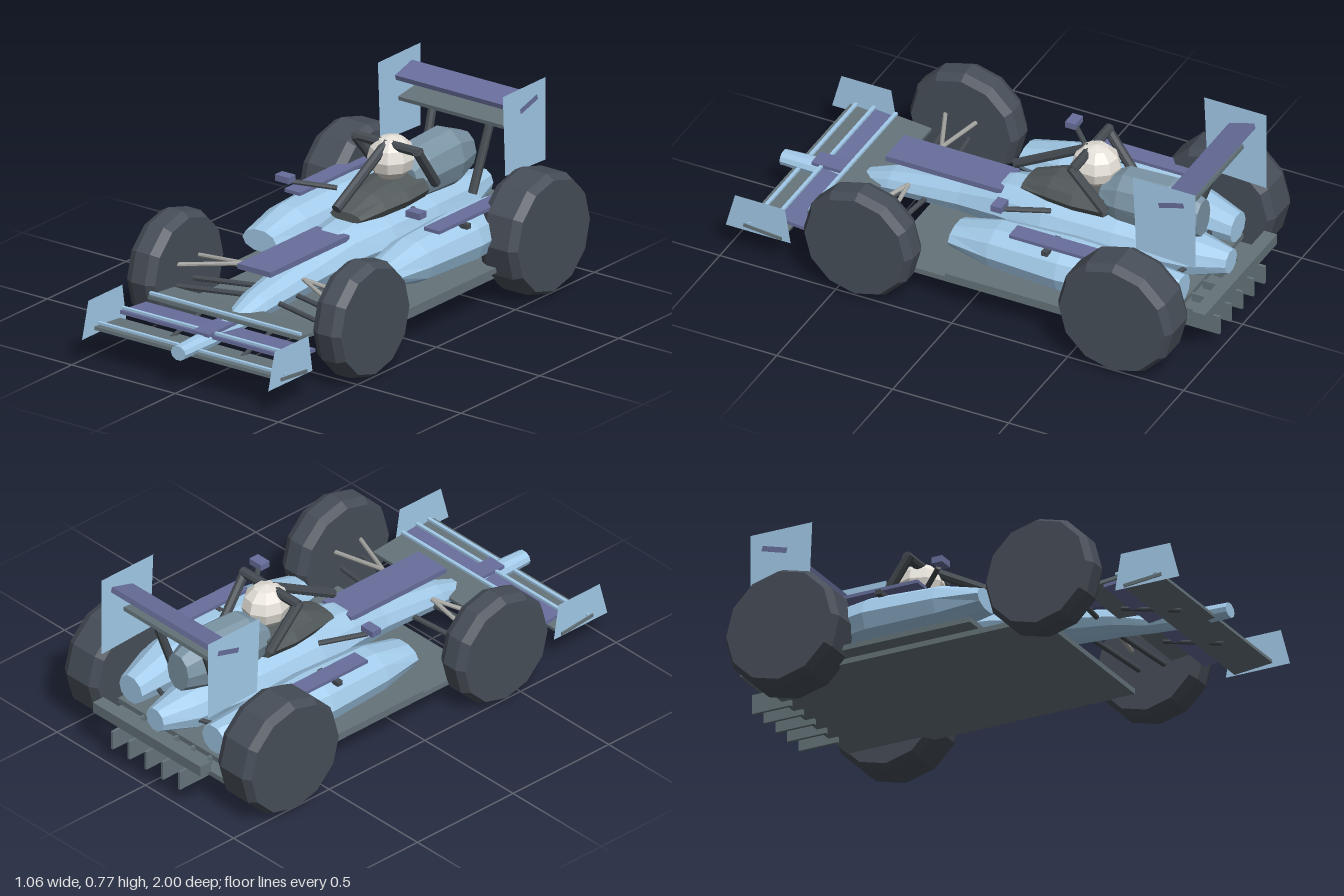
import * as THREE from 'three';

const mat = (color, side = THREE.FrontSide) =>
  new THREE.MeshStandardMaterial({ color, flatShading: true, side });
const BLUE = mat(0xa3cbea), BLUE_THIN = mat(0xa3cbea, THREE.DoubleSide), PURPLE = mat(0x686f9c);
const GREY = mat(0x65747a), COVER = mat(0x7c95a6), TYRE = mat(0x474e58);
const DARK = mat(0x454c52), COCKPIT = mat(0x535a5c), STEEL = mat(0xa5a5a2), WHITE = mat(0xe6e2da);

export function createModel() {
  const car = new THREE.Group();
  car.name = 'raceCar';

  const add = (name, geometry, material, x = 0, y = 0, z = 0, tilt = 0) => {
    const mesh = new THREE.Mesh(geometry, material);
    mesh.name = name;
    mesh.position.set(x, y, z);
    mesh.rotation.x = tilt;
    car.add(mesh);
    return mesh;
  };
  const box = (name, material, w, h, d, x, y, z, tilt) =>
    add(name, new THREE.BoxGeometry(w, h, d), material, x, y, z, tilt);

  // Round bar between two points
  const rod = (name, material, r, from, to) => {
    const a = new THREE.Vector3(...from), b = new THREE.Vector3(...to);
    const dir = b.clone().sub(a);
    const mesh = add(name, new THREE.CylinderGeometry(r, r, dir.length(), 8), material);
    mesh.position.copy(a).add(b).multiplyScalar(0.5);
    mesh.quaternion.setFromUnitVectors(new THREE.Vector3(0, 1, 0), dir.normalize());
  };

  // Faceted hull through elliptical sections [z, x, y, rx, ry], front to rear
  const hull = (name, material, sections, sides = 10) => {
    const pos = [], index = [], last = sections.length - 1;
    sections.forEach(([z, x, y, rx, ry]) => {
      for (let j = 0; j < sides; j++) {
        const a = (j / sides) * Math.PI * 2;
        pos.push(x + rx * Math.cos(a), y + ry * Math.sin(a), z);
      }
    });
    const front = pos.length / 3, rear = front + 1;
    for (const i of [0, last]) pos.push(sections[i][1], sections[i][2], sections[i][0]);
    for (let j = 0; j < sides; j++) {
      const k = (j + 1) % sides;
      for (let i = 0; i < last; i++) {
        const a = i * sides + j, b = i * sides + k;
        index.push(a, a + sides, b, b, a + sides, b + sides);
      }
      index.push(front, j, k, rear, last * sides + k, last * sides + j);
    }
    const g = new THREE.BufferGeometry();
    g.setAttribute('position', new THREE.Float32BufferAttribute(pos, 3));
    g.setIndex(index);
    g.computeVertexNormals();
    return add(name, g, material);
  };

  // Thin upright plate from a (z, y) outline
  const plate = (name, x, lean, outline) => {
    const shape = new THREE.Shape(outline.map(([z, y]) => new THREE.Vector2(-z, y)));
    const mesh = add(name, new THREE.ShapeGeometry(shape), BLUE_THIN, x);
    mesh.rotation.set(0, Math.PI / 2, lean);
  };

  // Tyre with bevelled shoulders
  const wheel = (name, x, y, z, r, width) => {
    const h = width / 2;
    const profile = [[0, -h], [r - 0.02, -h], [r, -h + 0.035], [r, h - 0.035], [r - 0.02, h], [0, h]];
    const g = new THREE.LatheGeometry(profile.map(p => new THREE.Vector2(...p)), 12);
    add(name, g.rotateZ(Math.PI / 2), TYRE, x, y, z);
  };

  // Main body and nose
  hull('body', BLUE, [
    [0.98, 0, 0.165, 0.036, 0.03], [0.8, 0, 0.167, 0.044, 0.034], [0.64, 0, 0.18, 0.045, 0.035],
    [0.5, 0, 0.215, 0.072, 0.052], [0.18, 0, 0.258, 0.102, 0.072], [0, 0, 0.282, 0.132, 0.098],
    [-0.2, 0, 0.29, 0.165, 0.112], [-0.5, 0, 0.285, 0.15, 0.11], [-0.8, 0, 0.275, 0.1, 0.085],
    [-0.95, 0, 0.285, 0.05, 0.05]]);
  hull('cockpitSurround', COCKPIT, [
    [-0.08, 0, 0.4, 0.075, 0.02], [-0.2, 0, 0.415, 0.105, 0.055],
    [-0.32, 0, 0.425, 0.13, 0.06], [-0.45, 0, 0.43, 0.125, 0.06]]);
  hull('engineCover', COVER, [
    [-0.42, 0, 0.45, 0.09, 0.08], [-0.5, 0, 0.46, 0.108, 0.115],
    [-0.7, 0, 0.46, 0.105, 0.125], [-0.83, 0, 0.45, 0.06, 0.08]]);
  box('nosePanel', PURPLE, 0.16, 0.022, 0.5, 0, 0.358, 0.25);
  const helmet = add('helmet', new THREE.SphereGeometry(0.092, 9, 6), WHITE, 0, 0.56, -0.37);
  helmet.scale.set(1, 0.97, 1.08);

  // Floor
  box('lowerFloor', GREY, 0.77, 0.022, 1.23, 0, 0.114, -0.255);
  box('upperFloor', GREY, 0.84, 0.022, 0.9, 0, 0.155, -0.38);

  // Front wing: three stacked elements, each with a lip
  const elements = [[0.91, 0.84, 0.138, GREY, 0.895], [0.82, 0.73, 0.18, PURPLE, 0.797], [0.73, 0.61, 0.215, GREY, 0.68]];
  for (const [w, z, y, material, lipZ] of elements) {
    box('frontWingElement', material, w, 0.014, 0.165, 0, y, z, -0.09);
    box('frontWingLip', BLUE, w, 0.01, 0.014, 0, y + 0.022, lipZ);
  }
  box('frontWingCentre', PURPLE, 0.08, 0.014, 0.19, 0, 0.202, 0.745);

  // Rear wing and crash bar
  box('rearWingFlap', PURPLE, 0.605, 0.022, 0.112, 0, 0.7, -0.845, 0.28);
  box('rearWingMainPlane', GREY, 0.53, 0.016, 0.11, 0, 0.625, -0.815, 0.14);
  box('rearBar', GREY, 0.61, 0.045, 0.055, 0, 0.213, -0.965);
  for (let i = -2; i <= 2; i++)
    box('diffuserFin', GREY, 0.012, 0.08, 0.17, i * 0.095, 0.12, -0.915);

  // Cockpit guard
  rod('guardPillar', DARK, 0.02, [0, 0.45, -0.02], [0, 0.625, -0.34]);
  rod('guardCrossbar', DARK, 0.02, [-0.16, 0.62, -0.345], [0.16, 0.62, -0.345]);

  for (const s of [-1, 1]) {
    // Sidepods with their top panels and small bars
    hull('sidepod', BLUE, [
      [0.08, s * 0.295, 0.282, 0.082, 0.045], [-0.1, s * 0.295, 0.285, 0.112, 0.09],
      [-0.4, s * 0.295, 0.285, 0.128, 0.103], [-0.65, s * 0.275, 0.275, 0.108, 0.095],
      [-0.86, s * 0.235, 0.27, 0.065, 0.06]]);
    box('sidepodPanel', PURPLE, 0.075, 0.014, 0.455, s * 0.337, 0.391, -0.41);
    box('sidepodBar', DARK, 0.12, 0.02, 0.025, s * 0.335, 0.372, -0.345);

    // Mirrors
    box('mirror', PURPLE, 0.066, 0.026, 0.045, s * 0.316, 0.478, -0.112);
    rod('mirrorArm', DARK, 0.011, [s * 0.185, 0.42, -0.265], [s * 0.31, 0.462, -0.125]);

    // Guard legs and rear wing struts
    rod('guardLeg', DARK, 0.02, [s * 0.152, 0.625, -0.335], [s * 0.135, 0.45, -0.475]);
    rod('rearWingStrut', DARK, 0.018, [s * 0.14, 0.62, -0.82], [s * 0.125, 0.33, -0.72]);

    // Wing endplates and front wing hangers
    plate('frontEndplate', s * 0.45, 0, [[1, 0.12], [0.72, 0.12], [0.745, 0.27], [0.96, 0.27]]);
    plate('rearEndplate', s * 0.302, 0, [[-0.68, 0.78], [-0.95, 0.78], [-0.95, 0.44], [-0.695, 0.45]]);
    rod('frontWingHanger', DARK, 0.009, [s * 0.17, 0.12, 0.86], [s * 0.17, 0.185, 0.6]);

    // Suspension
    for (const z of [0.345, 0.485])
      rod('frontUpperArm', STEEL, 0.009, [s * 0.4, 0.284, z], [s * 0.14, 0.315, 0.37]);
    for (const z of [0.33, 0.44])
      rod('frontLowerArm', DARK, 0.011, [s * 0.4, 0.2, z + 0.05], [s * 0.08, 0.222, z]);
    for (const z of [-0.6, -0.8])
      rod('rearArm', DARK, 0.01, [s * 0.4, 0.26, -0.7], [s * 0.08, 0.26, z]);

    wheel('frontWheel', s * 0.45, 0.242, 0.41, 0.236, 0.136);
    wheel('rearWheel', s * 0.435, 0.255, -0.705, 0.248, 0.19);
  }
  return car;
}
